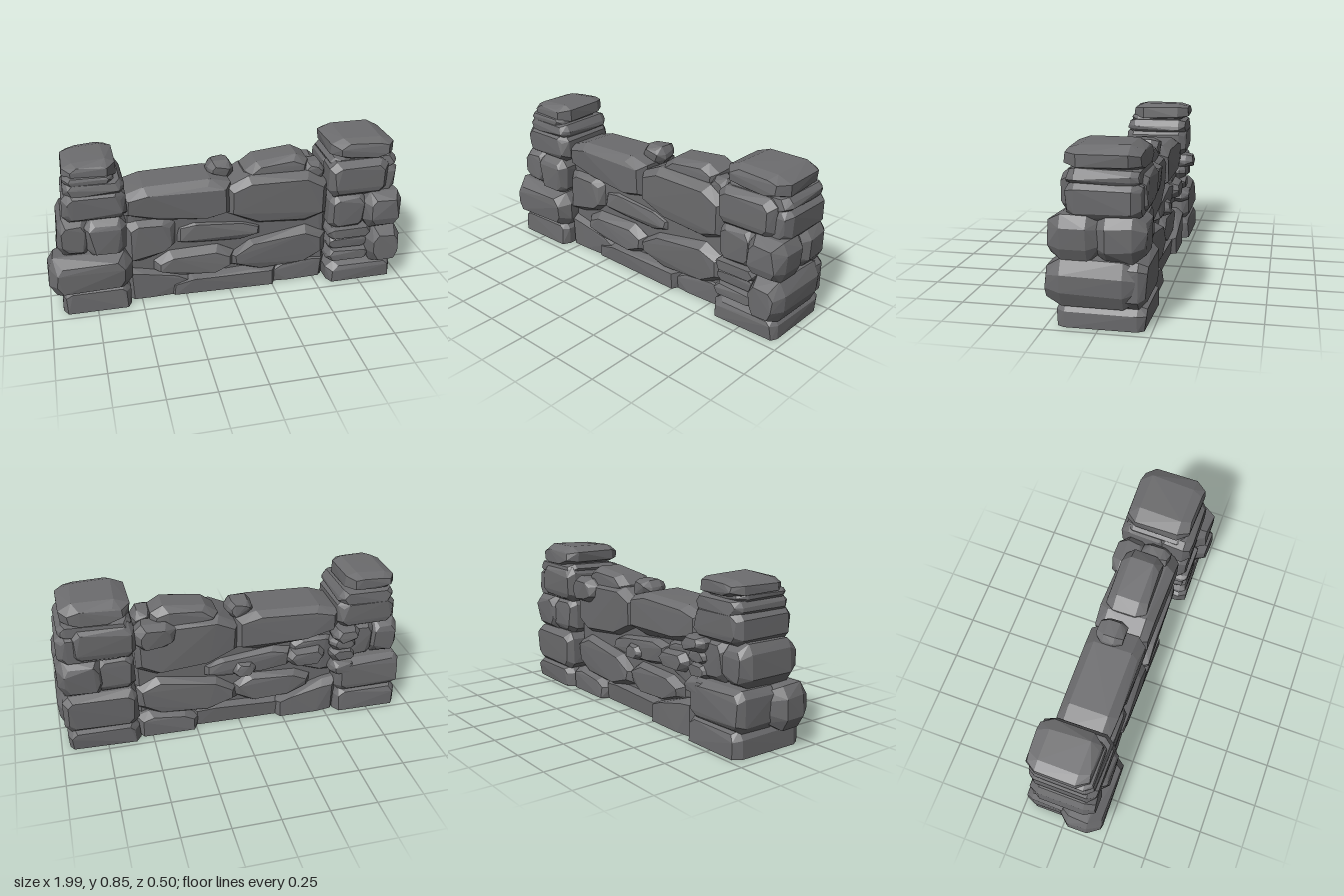
import * as THREE from 'three';
import { ConvexGeometry } from 'three/addons/geometries/ConvexGeometry.js';

export function createModel() {
  const model = new THREE.Group();
  model.name = 'stoneWall';
  const stoneGrey = new THREE.MeshStandardMaterial({ color: 0x6c6c6e });
  stoneGrey.name = 'stone grey';

  let seed = 7;
  const jitter = (a) => {
    seed = (seed * 16807) % 2147483647;
    return (seed / 2147483647 - 0.5) * 2 * a;
  };

  // Faceted stone: a front outline with bevelled front and back; feet stay flat on the ground
  function stone(parent, name, outline, z0, z1, inset) {
    const box = new THREE.Box2().setFromPoints(outline.map(([x, y]) => new THREE.Vector2(x, y)));
    const c = box.getCenter(new THREE.Vector2());
    const size = box.getSize(new THREE.Vector2());
    const bevel = Math.min(inset * 1.3, (z1 - z0) * 0.3);
    const points = [];
    for (const [z, d] of [[z0, inset], [z0 + bevel, 0.004], [z1 - bevel, 0.004], [z1, inset]]) {
      const kx = Math.max(0.65, 1 - 2 * d / size.x);
      const ky = Math.max(0.65, 1 - 2 * d / size.y);
      for (const [x, y] of outline) {
        points.push(new THREE.Vector3(
          c.x + (x - c.x) * kx + jitter(0.006),
          y === 0 ? 0 : c.y + (y - c.y) * ky + jitter(0.006),
          z + (d === inset ? jitter(0.008) : 0)));
      }
    }
    const mesh = new THREE.Mesh(new ConvexGeometry(points), stoneGrey);
    mesh.name = name;
    parent.add(mesh);
  }

  // Upright stone with cut corners
  function block(parent, name, x0, x1, y0, y1, z0, z1, inset = 0.03) {
    const c = Math.min(0.035, (x1 - x0) * 0.25, (y1 - y0) * 0.3);
    const h = Math.min(inset * 1.3, (y1 - y0) * 0.35);
    const lower = y0 === 0
      ? [[x0, 0], [x1, 0]]
      : [[x0, y0 + h], [x0 + c, y0], [x1 - c, y0], [x1, y0 + h]];
    stone(parent, name, [...lower, [x1, y1 - h], [x1 - c, y1], [x0 + c, y1], [x0, y1 - h]], z0, z1, inset);
  }

  // Lying stone between two upright ends [bottom, top], swelling in the middle
  function slab(parent, name, x0, x1, [a0, a1], [b0, b1], swell, z0, z1, inset = 0.035) {
    const at = (t, a, b, dy) => [x0 + (x1 - x0) * t, a + (b - a) * t + dy];
    const low = a0 === 0 ? 0 : -swell;
    stone(parent, name, [
      at(0, a0, b0, 0), at(0.3, a0, b0, low), at(0.8, a0, b0, low), at(1, a0, b0, 0),
      at(1, a1, b1, 0), at(0.8, a1, b1, swell), at(0.2, a1, b1, swell), at(0, a1, b1, 0),
    ], z0, z1, inset);
  }

  const group = (name) => {
    const g = new THREE.Group();
    g.name = name;
    model.add(g);
    return g;
  };

  // Low wall between the pillars
  const wall = group('wall');
  block(wall, 'core', -0.58, 0.58, 0, 0.6, -0.12, 0.1);
  slab(wall, 'footStoneRight', -0.58, -0.2, [0, 0.2], [0, 0.09], 0.01, -0.19, 0.13);
  slab(wall, 'footStoneMiddle', -0.35, 0.28, [0, 0.06], [0, 0.1], 0.035, -0.16, 0.145);
  slab(wall, 'footStoneLeft', 0.23, 0.58, [0, 0.07], [0, 0.12], 0.03, -0.19, 0.12);
  slab(wall, 'lowStoneRight', -0.43, 0.03, [0.16, 0.22], [0.15, 0.23], 0.055, -0.16, 0.15);
  slab(wall, 'lowStoneLeft', 0, 0.57, [0.14, 0.21], [0.17, 0.29], 0.07, -0.165, 0.145);
  slab(wall, 'middleStoneRight', -0.58, -0.29, [0.22, 0.46], [0.31, 0.46], 0.025, -0.14, 0.14);
  slab(wall, 'middleStoneLeft', -0.31, 0.2, [0.31, 0.43], [0.31, 0.37], 0.03, -0.155, 0.12);
  slab(wall, 'topStoneRight', -0.58, 0.02, [0.51, 0.63], [0.46, 0.65], 0.035, -0.17, 0.135);
  slab(wall, 'topStoneLeft', -0.01, 0.57, [0.46, 0.62], [0.41, 0.61], 0.06, -0.165, 0.14);
  slab(wall, 'capStone', 0.1, 0.47, [0.64, 0.68], [0.64, 0.72], 0.045, -0.14, 0.08);
  slab(wall, 'backCapStone', 0.34, 0.57, [0.58, 0.65], [0.58, 0.65], 0.04, -0.2, -0.04);
  block(wall, 'topPebble', -0.095, 0.055, 0.63, 0.735, -0.12, 0.02);
  block(wall, 'sidePebble', 0.43, 0.56, 0.59, 0.71, -0.06, 0.09);
  block(wall, 'backPebble', -0.1, 0.04, 0.29, 0.38, -0.185, -0.08);
  block(wall, 'backLedge', -0.5, -0.27, 0.31, 0.42, -0.19, -0.05);

  // Pillar on the model's right
  const right = group('rightPillar');
  block(right, 'footStone', -0.94, -0.555, 0, 0.14, -0.22, 0.2);
  block(right, 'wideStone', -1.0, -0.545, 0.1, 0.335, -0.02, 0.22, 0.05);
  block(right, 'rearWideStone', -0.95, -0.56, 0.11, 0.33, -0.215, 0.05);
  block(right, 'outerStone', -0.935, -0.75, 0.32, 0.55, -0.18, 0.175, 0.04);
  block(right, 'innerStone', -0.79, -0.565, 0.32, 0.54, -0.175, 0.195);
  block(right, 'shoulderStone', -0.895, -0.555, 0.52, 0.7, -0.19, 0.175);
  block(right, 'neckStone', -0.885, -0.56, 0.66, 0.75, -0.185, 0.165);
  block(right, 'lowerCap', -0.875, -0.61, 0.72, 0.79, -0.15, 0.155);
  slab(right, 'cap', -0.88, -0.595, [0.77, 0.81], [0.76, 0.83], 0.02, -0.195, 0.135, 0.045);
  // Small stones stacked on the inner back corner
  for (const [y, z] of [[0.24, -0.215], [0.32, -0.195], [0.39, -0.2], [0.46, -0.24]])
    block(right, 'chinkStone', -0.68, -0.52, y, y + 0.085, z, z + 0.16);

  // Pillar on the model's left
  const left = group('leftPillar');
  block(left, 'footStone', 0.565, 0.965, 0, 0.12, -0.22, 0.2);
  block(left, 'cornerStone', 0.785, 0.995, 0.1, 0.335, -0.19, 0.245, 0.055);
  block(left, 'rearStone', 0.565, 0.97, 0.1, 0.335, -0.225, 0.02);
  // Small stones stacked on the inner front corner
  for (const [y, z] of [[0.12, 0.19], [0.195, 0.17], [0.265, 0.19]])
    block(left, 'chinkStone', 0.56, 0.82, y, y + 0.08, -0.05, z, 0.02);
  block(left, 'innerStone', 0.565, 0.79, 0.32, 0.54, -0.195, 0.18);
  block(left, 'outerFrontStone', 0.76, 0.99, 0.32, 0.55, -0.01, 0.23, 0.045);
  block(left, 'outerRearStone', 0.72, 0.985, 0.32, 0.55, -0.22, 0.02, 0.045);
  block(left, 'shoulderStone', 0.6, 0.97, 0.51, 0.7, -0.195, 0.145);
  block(left, 'frontShoulderStone', 0.555, 0.9, 0.52, 0.74, 0.0, 0.19);
  block(left, 'rearShoulderStone', 0.555, 0.9, 0.52, 0.735, -0.21, 0.05);
  block(left, 'neckStone', 0.57, 0.96, 0.67, 0.75, -0.19, 0.145);
  slab(left, 'cap', 0.57, 0.935, [0.76, 0.82], [0.75, 0.82], 0.03, -0.195, 0.16, 0.045);

  return model;
}
